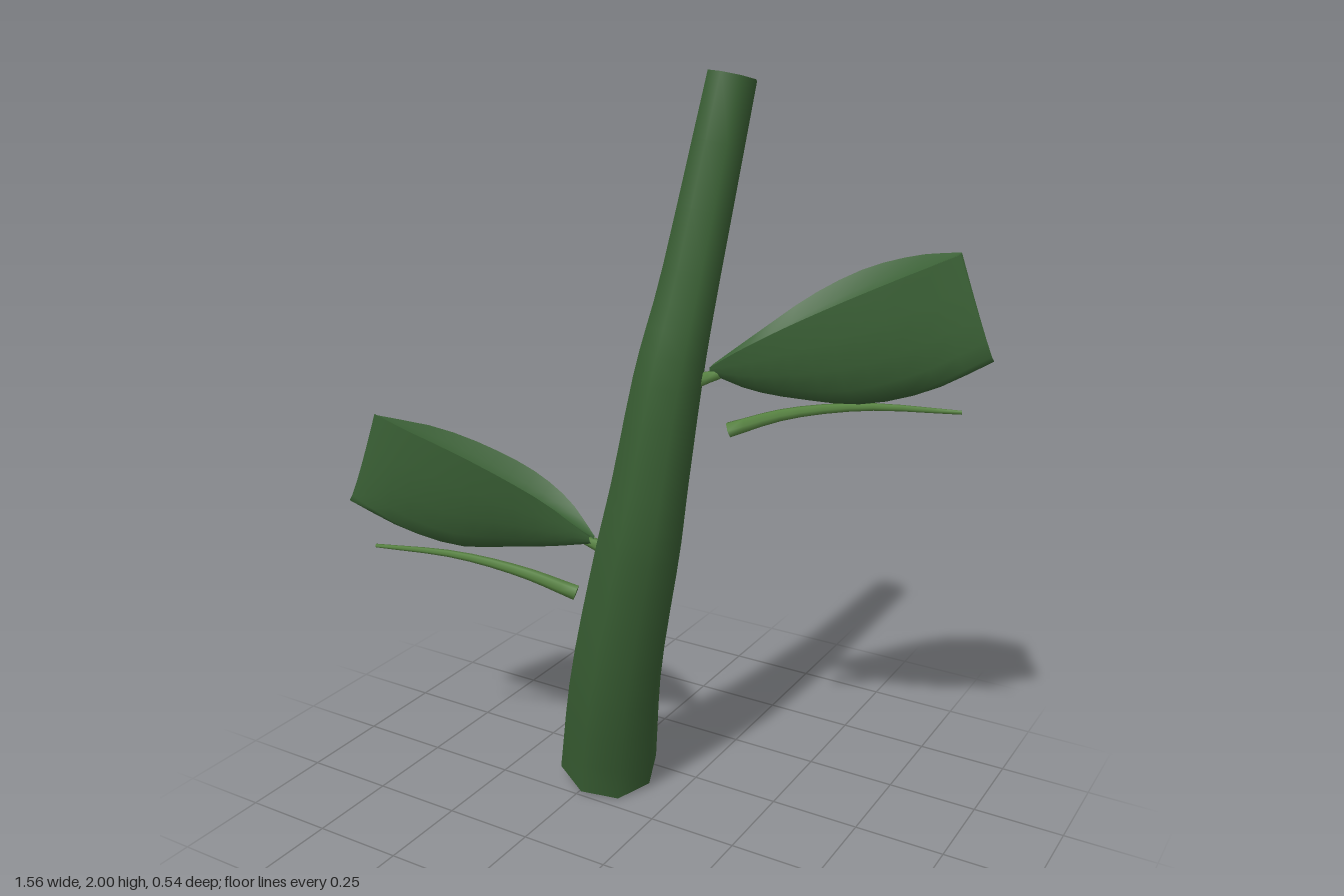
import * as THREE from 'three';

const V = (p) => new THREE.Vector3(...p);
const curve = (pts) => new THREE.CatmullRomCurve3(pts.map(V));

const stemGreen = new THREE.MeshStandardMaterial({ color: 0x3a6034 });
stemGreen.name = 'stem green';
const leafGreen = new THREE.MeshStandardMaterial({ color: 0x3a6035, side: THREE.DoubleSide });
leafGreen.name = 'leaf green';
const veinGreen = new THREE.MeshStandardMaterial({ color: 0x55803f });
veinGreen.name = 'vein green';

// Skin a list of cross-sections; each runs counter-clockwise about the axis
function loft(rings, closed) {
  const n = rings[0].length, index = [];
  const geometry = new THREE.BufferGeometry().setFromPoints(rings.flat());
  for (let i = 0; i < rings.length - 1; i++) {
    for (let j = 0; j < (closed ? n : n - 1); j++) {
      const k = (j + 1) % n;
      const a = i * n + j, b = i * n + k, c = a + n, d = b + n;
      index.push(a, b, c, b, d, c);
    }
  }
  geometry.setIndex(index);
  geometry.computeVertexNormals();
  return geometry;
}

// Flat end face for a ring of points
function cap(ring, flip) {
  const geometry = new THREE.BufferGeometry().setFromPoints(ring);
  const index = [];
  for (let j = 1; j < ring.length - 1; j++) index.push(0, flip ? j + 1 : j, flip ? j : j + 1);
  geometry.setIndex(index);
  geometry.computeVertexNormals();
  return geometry;
}

// Tapered tube along a curve, with flat ends
function taperedTube(name, path, radius, sides, steps, material) {
  const rings = [];
  for (let i = 0; i <= steps; i++) {
    const t = i / steps, centre = path.getPoint(t), axis = path.getTangent(t);
    const u = new THREE.Vector3(0, 0, 1).projectOnPlane(axis).normalize();
    const v = axis.clone().cross(u);
    rings.push(Array.from({ length: sides }, (_, j) => {
      const a = (j / sides) * Math.PI * 2, r = radius(t);
      return centre.clone().addScaledVector(u, r * Math.cos(a)).addScaledVector(v, r * Math.sin(a));
    }));
  }
  const group = new THREE.Group();
  group.name = name;
  const parts = { Side: loft(rings, true), Start: cap(rings[0], true), End: cap(rings[steps], false) };
  for (const [part, geometry] of Object.entries(parts)) {
    const mesh = new THREE.Mesh(geometry, material);
    mesh.name = name + part;
    group.add(mesh);
  }
  return group;
}

// Folded leaf: two rims over a rounded keel, pinched together at the tip
function makeLeaf() {
  const frontRim = curve([[0.15, 1.31, -0.02], [0.25, 1.375, 0.018], [0.35, 1.435, 0.016],
    [0.46, 1.495, -0.025], [0.58, 1.555, -0.1], [0.69, 1.605, -0.22]]);
  const backRim = curve([[0.15, 1.315, -0.045], [0.25, 1.4, -0.09], [0.35, 1.485, -0.165],
    [0.46, 1.55, -0.22], [0.58, 1.59, -0.24], [0.69, 1.61, -0.225]]);
  const keel = curve([[0.15, 1.292, -0.03], [0.26, 1.265, -0.04], [0.38, 1.25, -0.075],
    [0.51, 1.245, -0.13], [0.65, 1.285, -0.185], [0.78, 1.36, -0.245]]);
  const walls = [], tops = [];
  const steps = 12, half = 5;
  for (let i = 0; i <= steps; i++) {
    const t = i / steps;
    const f = frontRim.getPoint(t), b = backRim.getPoint(t), m = keel.getPoint(t);
    const wallPoint = (rim, s) => {
      const drop = Math.sin(s * Math.PI / 2), out = Math.cos(s * Math.PI / 2);
      const p = rim.clone().lerp(m, drop);
      p.z = m.z + (rim.z - m.z) * out;
      return p;
    };
    const wall = [];
    for (let j = 0; j <= half; j++) wall.push(wallPoint(f, j / half));
    for (let j = half - 1; j >= 0; j--) wall.push(wallPoint(b, j / half));
    walls.push(wall);

    // Dished upper face between the rims
    const dip = 0.07 * Math.sin(Math.PI * t);
    tops.push(Array.from({ length: 7 }, (_, j) => {
      const s = j / 6, p = b.clone().lerp(f, s);
      p.y -= dip * Math.sin(Math.PI * s);
      return p;
    }));
  }
  const group = new THREE.Group();
  group.name = 'leaf';
  const under = new THREE.Mesh(loft(walls, false), leafGreen);
  under.name = 'leafUnderside';
  const upper = new THREE.Mesh(loft(tops, false), leafGreen);
  upper.name = 'leafUpperFace';
  group.add(under, upper);
  return group;
}

// Leaf together with its vein and the short stalk at the base
function makeLeafSet(name) {
  const group = new THREE.Group();
  group.name = name;
  const veinPath = curve([[0.19, 1.15, -0.05], [0.32, 1.198, -0.1], [0.5, 1.23, -0.155], [0.72, 1.233, -0.22]]);
  const stalkPath = curve([[0.11, 1.27, -0.005], [0.14, 1.283, -0.015], [0.175, 1.295, -0.025]]);
  group.add(
    makeLeaf(),
    taperedTube('leafVein', veinPath, (t) => 0.02 - 0.015 * t, 6, 10, veinGreen),
    taperedTube('leafStalk', stalkPath, (t) => 0.022 - 0.01 * t, 6, 3, veinGreen),
  );
  return group;
}

export function createModel() {
  const model = new THREE.Group();
  model.name = 'leafyStem';

  // Curved stem, thicker at the foot
  const stemPath = curve([[-0.225, 0.05, -0.135], [-0.14, 0.4, -0.045], [-0.035, 0.8, 0.012],
    [0.01, 1.0, 0.025], [0.06, 1.3, 0.015], [0.09, 1.5, -0.02], [0.14, 1.985, -0.132]]);
  model.add(taperedTube('stem', stemPath, (t) => 0.14 - 0.078 * t, 8, 20, stemGreen));

  // The lower leaf is the upper one turned half round the stem
  const upperLeaf = makeLeafSet('upperLeftLeaf');
  const lowerLeaf = makeLeafSet('lowerRightLeaf');
  lowerLeaf.rotation.y = Math.PI;
  lowerLeaf.position.set(0, -0.48, 0.02);
  model.add(upperLeaf, lowerLeaf);
  return model;
}
